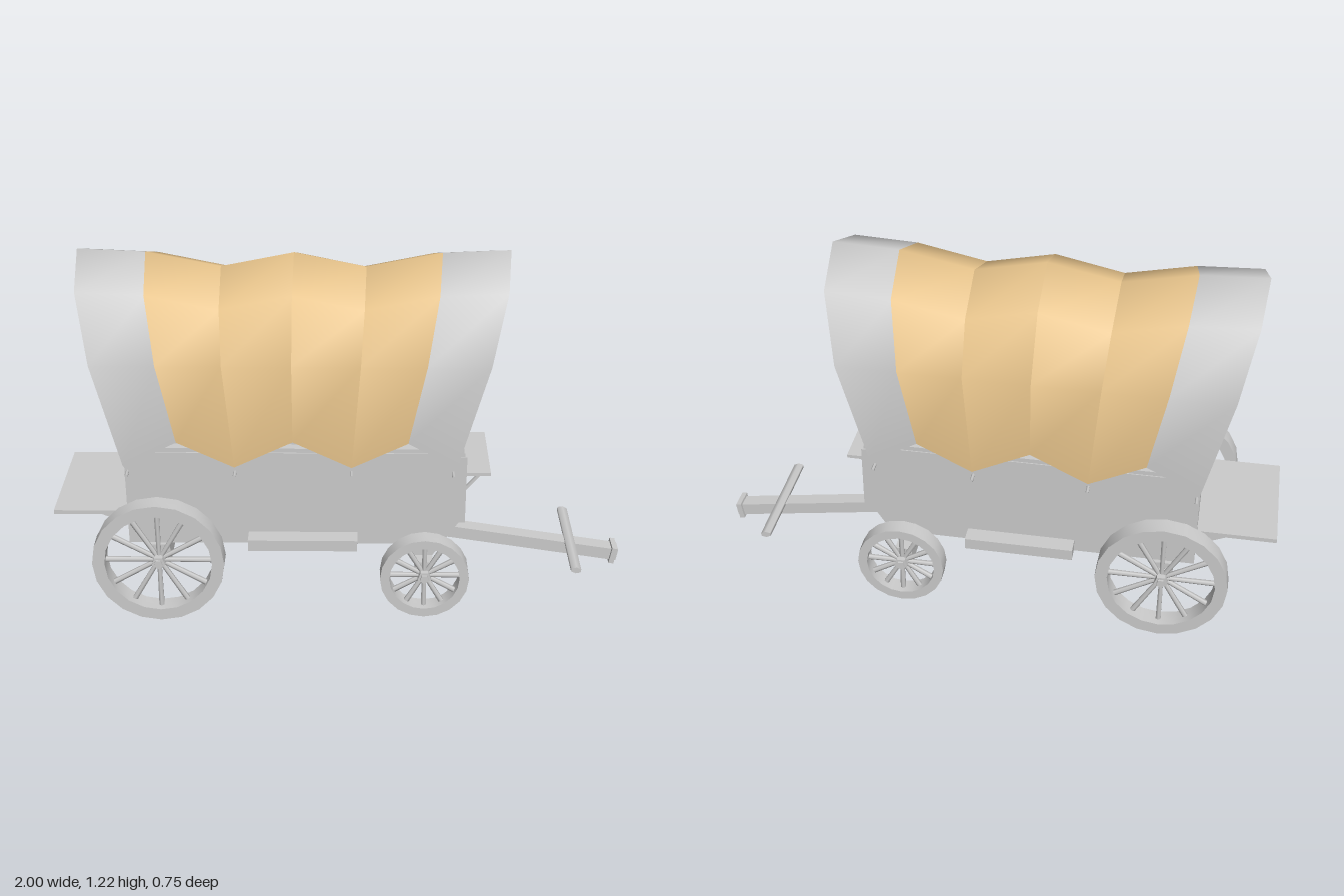
import * as THREE from 'three';
import { toCreasedNormals } from 'three/addons/utils/BufferGeometryUtils.js';

const grey = new THREE.MeshStandardMaterial({ color: 0xcccccc });
const greyCloth = new THREE.MeshStandardMaterial({ color: 0xcccccc, side: THREE.DoubleSide });
const tanCloth = new THREE.MeshStandardMaterial({ color: 0xe6c38b, side: THREE.DoubleSide });

function add(parent, name, geometry, material = grey) {
  const mesh = new THREE.Mesh(geometry, material);
  mesh.name = name;
  parent.add(mesh);
  return mesh;
}

// Box given by its limits on each axis
function box(parent, name, [x0, x1], [y0, y1], [z0, z1]) {
  const mesh = add(parent, name, new THREE.BoxGeometry(x1 - x0, y1 - y0, z1 - z0));
  mesh.position.set((x0 + x1) / 2, (y0 + y1) / 2, (z0 + z1) / 2);
  return mesh;
}

// Side outline in x and y, extruded across z
function slab(parent, name, outline, z0, z1) {
  const shape = new THREE.Shape(outline.map(([x, y]) => new THREE.Vector2(x, y)));
  const geometry = new THREE.ExtrudeGeometry(shape, { depth: z1 - z0, bevelEnabled: false });
  return add(parent, name, geometry.translate(0, 0, z0));
}

// Straight beam in the x-y plane
function beam(parent, name, [x0, y0], [x1, y1], thickness, width, z = 0) {
  const length = Math.hypot(x1 - x0, y1 - y0);
  const mesh = add(parent, name, new THREE.BoxGeometry(length, thickness, width));
  mesh.position.set((x0 + x1) / 2, (y0 + y1) / 2, z);
  mesh.rotation.z = Math.atan2(y1 - y0, x1 - x0);
  return mesh;
}

// Surface between two rows of points, smooth along the rows
function strip(rowA, rowB) {
  const n = rowA.length, index = [];
  for (let a = 0; a < n - 1; a++) {
    const b = a + n;
    index.push(a, a + 1, b, b, a + 1, b + 1);
  }
  const geometry = new THREE.BufferGeometry().setFromPoints([...rowA, ...rowB]);
  geometry.setIndex(index);
  geometry.computeVertexNormals();
  return geometry;
}

function makeWheel(name, radius, inner, depth, spokes) {
  const wheel = new THREE.Group();
  wheel.name = name;
  const h = depth / 2;
  const section = [[inner, -h], [radius, -h], [radius, h], [inner, h], [inner, -h]];
  const rim = new THREE.LatheGeometry(section.map(([r, y]) => new THREE.Vector2(r, y)), 20);
  add(wheel, 'rim', toCreasedNormals(rim.rotateX(Math.PI / 2), 0.6));
  add(wheel, 'hub', new THREE.CylinderGeometry(0.024, 0.024, depth - 0.012, 5).rotateX(Math.PI / 2).toNonIndexed())
    .geometry.computeVertexNormals();
  add(wheel, 'hubCap', toCreasedNormals(new THREE.CylinderGeometry(0.015, 0.015, depth + 0.002, 5).rotateX(Math.PI / 2), 0.5));
  for (let i = 0; i < spokes; i++) {
    const spoke = new THREE.CylinderGeometry(0.01, 0.008, inner, 6).translate(0, inner / 2 + 0.005, 0);
    add(wheel, 'spoke', spoke).rotation.z = (i / spokes) * Math.PI * 2;
  }
  return wheel;
}

function makeCanopy() {
  const canopy = new THREE.Group();
  canopy.name = 'canopy';
  // Each hoop: top x, top y, hem x, hem y
  const hoops = [
    [-0.887, 1.225, -0.73, 0.575], [-0.66, 1.215, -0.55, 0.667], [-0.41, 1.165, -0.36, 0.575],
    [-0.165, 1.215, -0.165, 0.67], [0.077, 1.165, 0.03, 0.575], [0.33, 1.215, 0.217, 0.667],
    [0.557, 1.225, 0.38, 0.575],
  ];
  // Half sections from hem to ridge: z, y
  const outside = (top, hem) => [[0.322, hem], [0.325, 0.945], [0.2, top - 0.075], [0, top]];
  const inside = (top, hem) => {
    const rise = top - 1.165;
    return [[0.322, hem], [0.268, 0.935], [0.178, 1.07 + rise * 0.33], [0, 1.12 + rise * 0.67]];
  };
  const rows = (section) => hoops.map(([xt, yt, xb, yb]) => {
    const half = section(yt, yb);
    const full = [...half, ...half.slice(0, -1).reverse().map(([z, y]) => [-z, y])];
    return full.map(([z, y]) => new THREE.Vector3(xb + (xt - xb) * (y - yb) / (yt - yb), y, z));
  });
  const outer = rows(outside), inner = rows(inside);
  for (let i = 0; i < 6; i++) {
    const end = i === 0 || i === 5;
    add(canopy, end ? 'endBand' : 'cover', strip(outer[i + 1], outer[i]), end ? greyCloth : tanCloth);
    add(canopy, 'lining', strip(inner[i], inner[i + 1]), tanCloth);
  }
  add(canopy, 'rearLip', strip(outer[0], inner[0]), greyCloth);
  add(canopy, 'frontLip', strip(inner[6], outer[6]), greyCloth);
  return canopy;
}

export function createModel() {
  const wagon = new THREE.Group();
  wagon.name = 'coveredWagon';

  // Open wagon bed
  const bed = new THREE.Group();
  bed.name = 'bed';
  wagon.add(bed);
  box(bed, 'floor', [-0.73, 0.305], [0.27, 0.29], [-0.28, 0.28]);
  box(bed, 'frontFloor', [0.285, 0.39], [0.355, 0.37], [-0.28, 0.28]);
  box(bed, 'floorRiser', [0.285, 0.305], [0.27, 0.355], [-0.28, 0.28]);
  box(bed, 'frontBoard', [0.39, 0.415], [0.355, 0.605], [-0.3, 0.3]);
  box(bed, 'frontRail', [0.375, 0.408], [0.605, 0.618], [-0.295, 0.295]);
  box(bed, 'rearBoard', [-0.73, -0.71], [0.27, 0.6], [-0.28, 0.28]);
  const wall = [[-0.73, 0.27], [0.305, 0.27], [0.305, 0.355], [0.39, 0.355], [0.39, 0.618], [-0.73, 0.618]];
  for (const s of [-1, 1]) {
    slab(bed, 'sideWall', wall, s > 0 ? 0.28 : -0.3, s > 0 ? 0.3 : -0.28);
    box(bed, 'sideRail', [-0.73, 0.405], [0.61, 0.633], [s * 0.28 - 0.016, s * 0.28 + 0.016]);
    box(bed, 'sideStep', [-0.32, 0.05], [0.275, 0.315], [s * 0.33 - 0.03, s * 0.33 + 0.03]);
    for (const x of [-0.72, -0.36, 0.03, 0.37]) {
      const peg = add(bed, 'peg', new THREE.CylinderGeometry(0.006, 0.006, 0.05, 6).rotateX(Math.PI / 2));
      peg.position.set(x, 0.547, s * 0.31);
    }
  }
  // Sloping underside at the front, and wedge below the tailboard
  slab(bed, 'frontBolster', [[0.16, 0.275], [0.24, 0.2], [0.31, 0.2], [0.412, 0.355], [0.16, 0.355]], -0.26, 0.26);
  slab(bed, 'tailWedge', [[-0.73, 0.275], [-0.73, 0.332], [-0.86, 0.332]], -0.2, 0.2);
  box(bed, 'tailboard', [-1, -0.73], [0.33, 0.345], [-0.215, 0.215]);

  // Driver's seat
  const seat = new THREE.Group();
  seat.name = 'seat';
  wagon.add(seat);
  box(seat, 'seatPlank', [0.2, 0.38], [0.585, 0.607], [-0.28, 0.28]);
  const back = new THREE.Shape();
  back.moveTo(-0.108, 0.605).lineTo(0.108, 0.605).lineTo(0.108, 0.682).lineTo(0.095, 0.697);
  back.lineTo(-0.095, 0.697).lineTo(-0.108, 0.682);
  const backGeometry = new THREE.ExtrudeGeometry(back, { depth: 0.02, bevelEnabled: false });
  add(seat, 'seatBack', backGeometry.rotateY(Math.PI / 2).translate(0.215, 0, 0));
  const arm = [[0.215, 0.605], [0.36, 0.605], [0.36, 0.63], [0.33, 0.645], [0.25, 0.672], [0.215, 0.672]];
  for (const s of [-1, 1]) slab(seat, 'armrest', arm, s * 0.113 - 0.008, s * 0.113 + 0.008);

  // Footrest
  box(wagon, 'footrest', [0.41, 0.51], [0.455, 0.467], [-0.155, 0.155]);
  for (const z of [-0.12, 0, 0.12]) beam(wagon, 'footrestStrut', [0.412, 0.37], [0.485, 0.458], 0.01, 0.012, z);

  // Axles and wheels
  box(wagon, 'frontAxle', [0.25, 0.31], [0.14, 0.2], [-0.31, 0.31]);
  box(wagon, 'rearAxle', [-0.66, -0.59], [0.2, 0.27], [-0.315, 0.315]);
  for (const s of [-1, 1]) {
    const rear = makeWheel('rearWheel', 0.225, 0.183, 0.066, 12);
    rear.position.set(-0.626, 0.228, s * 0.341);
    const front = makeWheel('frontWheel', 0.152, 0.12, 0.06, 12);
    front.position.set(0.28, 0.168, s * 0.335);
    wagon.add(rear, front);
  }

  // Tongue with crossbar
  const tongue = new THREE.Group();
  tongue.name = 'tongue';
  wagon.add(tongue);
  beam(tongue, 'pole', [0.29, 0.17], [0.995, 0.06], 0.045, 0.054);
  beam(tongue, 'poleCap', [0.97, 0.064], [0.988, 0.061], 0.062, 0.076);
  const bar = add(tongue, 'crossbar', new THREE.CylinderGeometry(0.02, 0.02, 0.43, 6).rotateX(Math.PI / 2).scale(1, 0.6, 1));
  bar.position.set(0.82, 0.112, 0);
  bar.rotation.z = -0.155;

  wagon.add(makeCanopy());
  return wagon;
}
